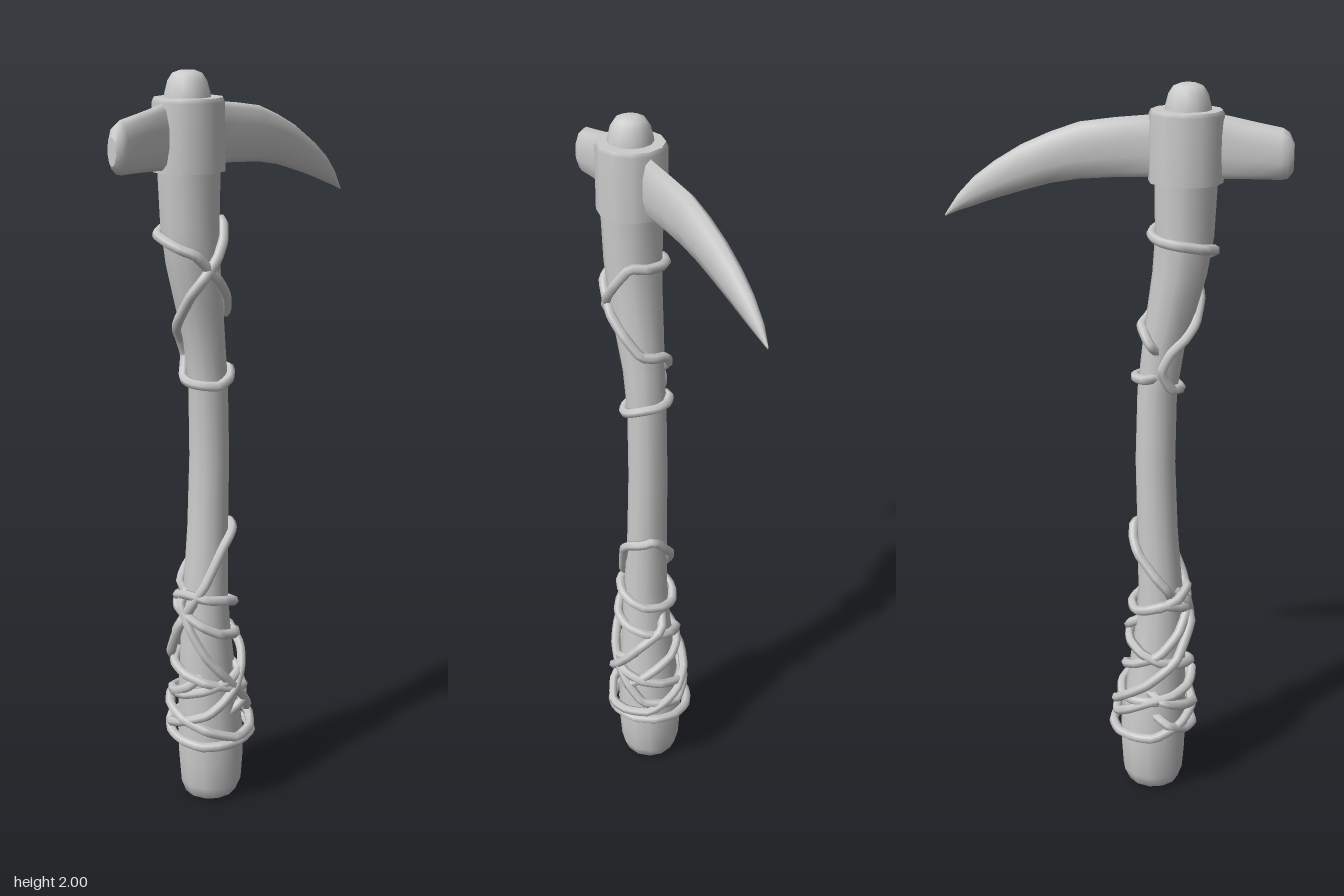
import * as THREE from 'three';

const material = new THREE.MeshStandardMaterial({ color: 0xcccccc });

function addMesh(group, name, geometry) {
  const mesh = new THREE.Mesh(geometry, material);
  mesh.name = name;
  group.add(mesh);
  return mesh;
}

// Skin a list of equal-sized rings (counter-clockwise about the travel direction), with flat caps.
function loft(rings) {
  const n = rings[0].length;
  const pos = [];
  const index = [];
  rings.forEach((ring) => ring.forEach((p) => pos.push(p.x, p.y, p.z)));
  for (let i = 0; i < rings.length - 1; i++) {
    for (let j = 0; j < n; j++) {
      const a = i * n + j, b = i * n + (j + 1) % n;
      index.push(a, b, a + n, b, b + n, a + n);
    }
  }
  [rings[0], rings[rings.length - 1]].forEach((ring, end) => {
    const start = pos.length / 3;
    const mid = new THREE.Vector3();
    ring.forEach((p) => { mid.addScaledVector(p, 1 / n); pos.push(p.x, p.y, p.z); });
    pos.push(mid.x, mid.y, mid.z);
    for (let j = 0; j < n; j++) {
      const a = start + j, b = start + (j + 1) % n;
      if (end) index.push(a, b, start + n);
      else index.push(b, a, start + n);
    }
  });
  const geometry = new THREE.BufferGeometry();
  geometry.setAttribute('position', new THREE.Float32BufferAttribute(pos, 3));
  geometry.setIndex(index);
  geometry.computeVertexNormals();
  return geometry;
}

// Handle sections: height, centre z, radius
const HANDLE = [
  [0.005, 0.115, 0.055], [0.015, 0.115, 0.072], [0.05, 0.113, 0.086], [0.12, 0.113, 0.091],
  [0.2, 0.113, 0.093], [0.35, 0.122, 0.082], [0.5, 0.13, 0.07], [0.62, 0.13, 0.062],
  [0.8, 0.12, 0.056], [1.0, 0.112, 0.054], [1.2, 0.115, 0.053], [1.32, 0.13, 0.056],
  [1.42, 0.15, 0.064], [1.52, 0.17, 0.071], [1.62, 0.181, 0.076], [1.8, 0.183, 0.082],
];

function handleAt(y) {
  let i = 0;
  while (i < HANDLE.length - 2 && HANDLE[i + 1][0] < y) i++;
  const [a, b] = [HANDLE[i], HANDLE[i + 1]];
  const t = (y - a[0]) / (b[0] - a[0]);
  return [a[1] + (b[1] - a[1]) * t, a[2] + (b[2] - a[2]) * t];
}

// Point around the handle; 0 degrees is the front, 90 is +x
function around(degrees, y, offset = 0) {
  const [z, r] = handleAt(y);
  const t = THREE.MathUtils.degToRad(degrees);
  return new THREE.Vector3(Math.sin(t) * (r + offset), y, z + Math.cos(t) * (r + offset));
}

// A vine wound round the handle through [degrees, height] stops; its ends dive into the wood
function vine(stops, lift) {
  const points = [];
  for (let i = 0; i < stops.length - 1; i++) {
    const [a0, y0] = stops[i], [a1, y1] = stops[i + 1];
    const steps = Math.max(1, Math.ceil(Math.abs(a1 - a0) / 48));
    for (let k = 0; k < steps; k++) {
      const t = k / steps;
      points.push(around(a0 + (a1 - a0) * t, y0 + (y1 - y0) * t, points.length ? lift : -0.02));
    }
  }
  const last = stops[stops.length - 1];
  points.push(around(last[0], last[1], -0.02));
  const curve = new THREE.CatmullRomCurve3(points, false, 'catmullrom', 0.25);
  return new THREE.TubeGeometry(curve, points.length * 3, 0.0135, 6);
}

const UPPER_VINES = [
  [[270, 1.31], [215, 1.37], [150, 1.39], [90, 1.49], [50, 1.555], [0, 1.585], [-90, 1.61],
    [-150, 1.62], [-215, 1.63], [-270, 1.54], [-330, 1.45], [-365, 1.39], [-425, 1.32],
    [-440, 1.27], [-410, 1.22], [-360, 1.21], [-290, 1.205], [-210, 1.235], [-150, 1.24], [-80, 1.25]],
];

const LOWER_VINES = [
  [[-40, 0.6], [-90, 0.68], [-135, 0.74], [-190, 0.81], [-250, 0.79], [-280, 0.76], [-320, 0.66],
    [-370, 0.56], [-440, 0.45], [-490, 0.41], [-550, 0.37], [-610, 0.3], [-650, 0.26]],
  [[-120, 0.58], [-90, 0.59], [0, 0.63], [90, 0.61], [150, 0.58], [220, 0.57], [290, 0.6], [360, 0.57],
    [430, 0.52], [510, 0.49], [570, 0.47], [640, 0.43], [720, 0.4], [800, 0.36], [860, 0.33],
    [930, 0.3], [1000, 0.31], [1080, 0.34], [1160, 0.38], [1220, 0.42]],
  [[-40, 0.64], [-15, 0.6], [40, 0.46], [90, 0.36], [140, 0.26], [200, 0.24], [270, 0.31], [340, 0.34], [400, 0.4]],
  [[220, 0.54], [180, 0.5], [140, 0.45], [90, 0.36], [40, 0.29], [0, 0.26], [-80, 0.2], [-140, 0.195],
    [-200, 0.2], [-270, 0.2], [-330, 0.195], [-390, 0.21], [-450, 0.26]],
  [[-110, 0.33], [-70, 0.31], [0, 0.27], [80, 0.215], [150, 0.23], [200, 0.28], [260, 0.36],
    [310, 0.44], [350, 0.54], [390, 0.63]],
];

// Pick head sections from the blunt front to the rear point: z, top, bottom, half width
const HEAD = [
  [0.45, 1.86, 1.79, 0.014], [0.437, 1.887, 1.772, 0.026], [0.42, 1.897, 1.768, 0.027],
  [0.36, 1.908, 1.768, 0.023], [0.28, 1.924, 1.766, 0.02], [0.18, 1.925, 1.765, 0.02],
  [0.08, 1.92, 1.765, 0.021], [0, 1.912, 1.762, 0.025], [-0.09, 1.899, 1.755, 0.029],
  [-0.165, 1.872, 1.742, 0.03], [-0.24, 1.838, 1.72, 0.028], [-0.31, 1.795, 1.698, 0.025],
  [-0.365, 1.753, 1.678, 0.02], [-0.41, 1.705, 1.662, 0.013], [-0.445, 1.653, 1.647, 0.002],
];

export function createModel() {
  const group = new THREE.Group();
  group.name = 'pickaxe';

  // Crooked wooden handle
  const sides = 12;
  addMesh(group, 'handle', loft(HANDLE.map(([y]) =>
    Array.from({ length: sides }, (_, j) => around(j * 360 / sides, y)))));

  // Double-ended head: blunt wedge in front, curved point behind
  addMesh(group, 'pickHead', loft(HEAD.map(([z, top, bottom, w]) =>
    Array.from({ length: 10 }, (_, j) => {
      const t = j / 10 * Math.PI * 2 + Math.PI / 2;
      return new THREE.Vector3(-w * Math.cos(t), (top + bottom) / 2 + (top - bottom) / 2 * Math.sin(t), z);
    }))));

  // Socket collar; repeated points keep its rims sharp
  const profile = [[0.07, 1.757], [0.09, 1.757], [0.09, 1.757], [0.09, 1.765], [0.09, 1.925],
    [0.085, 1.936], [0.085, 1.936], [0, 1.936]].map(([x, y]) => new THREE.Vector2(x, y));
  const collar = addMesh(group, 'collar', new THREE.LatheGeometry(profile, 12));
  collar.position.z = 0.182;
  collar.scale.z = 1.06;

  // Rounded handle end above the collar
  const knobProfile = [[0.06, 1.92], [0.058, 1.945], [0.05, 1.975], [0.038, 1.993], [0.02, 2], [0, 2]]
    .map(([x, y]) => new THREE.Vector2(x, y));
  addMesh(group, 'handleTop', new THREE.LatheGeometry(knobProfile, 12)).position.z = 0.185;

  // Vines wrapped round the neck and the grip
  UPPER_VINES.forEach((stops) => addMesh(group, 'neckVine', vine(stops, 0.009)));
  LOWER_VINES.forEach((stops, i) => addMesh(group, 'gripVine', vine(stops, 0.011 + i * 0.003)));

  return group;
}
